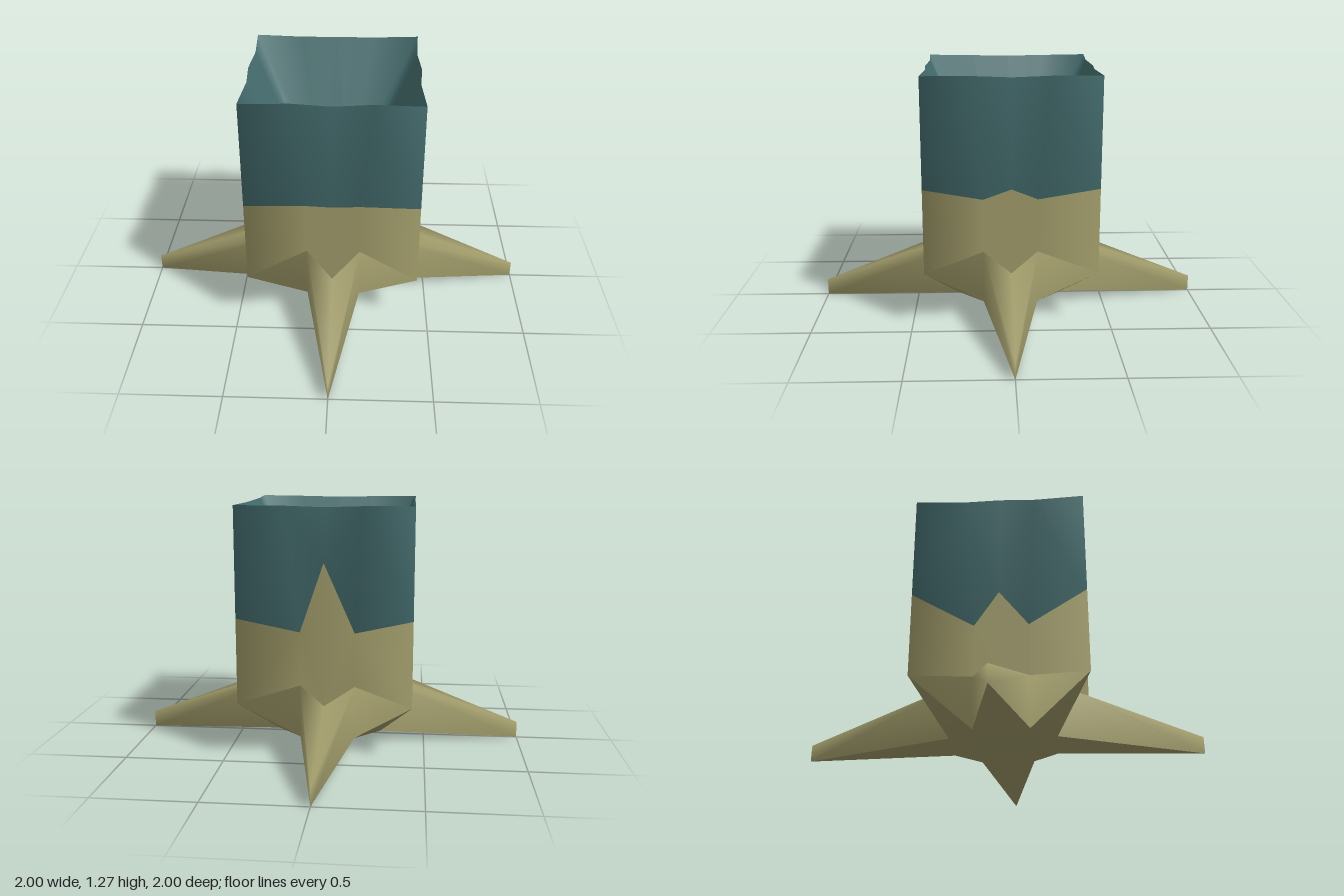
import * as THREE from 'three';
import { mergeVertices } from 'three/addons/utils/BufferGeometryUtils.js';

const OLIVE = 0x9f9a69;
const TEAL = 0x456d6e;

// Repeats points of one quadrant four times around the y axis.
function around(points) {
  const out = [];
  for (let q = 0; q < 4; q++) {
    for (const [px, y, pz] of points) {
      let x = px, z = pz;
      for (let k = 0; k < q; k++) [x, z] = [z, -x];
      out.push([x, y, z]);
    }
  }
  return out;
}

// Ring of 16 points: face ridge, dent, corner, dent, in each quadrant.
function ring(ridge, ridgeY, dentX, dentZ, dentY, corner, cornerY) {
  return around([
    [0, ridgeY, ridge], [dentX, dentY, dentZ],
    [corner, cornerY, corner], [dentZ, dentY, dentX],
  ]);
}

// Triangles between two rings, with diagonals running from ridge to dent.
function bridge(a, b) {
  const tris = [];
  for (let i = 0; i < a.length; i++) {
    const j = (i + 1) % a.length;
    if (i % 2 === 0) tris.push([a[i], a[j], b[j]], [a[i], b[j], b[i]]);
    else tris.push([a[i], a[j], b[i]], [a[j], b[j], b[i]]);
  }
  return tris;
}

function smoothMesh(name, tris, color) {
  let geo = new THREE.BufferGeometry();
  geo.setAttribute('position', new THREE.Float32BufferAttribute(tris.flat(2), 3));
  geo = mergeVertices(geo, 1e-4);
  geo.computeVertexNormals();
  const mesh = new THREE.Mesh(geo, new THREE.MeshStandardMaterial({ color, side: THREE.DoubleSide }));
  mesh.name = name;
  return mesh;
}

export function createModel() {
  const group = new THREE.Group();
  group.name = 'fourFootedPot';

  const rim = ring(0.435, 1.265, 0.19, 0.42, 1.27, 0.435, 1.272);
  const mid = ring(0.435, 0.72, 0.14, 0.27, 0.62, 0.435, 0.72);
  const low = ring(0.435, 0.285, 0.14, 0.27, 0.34, 0.435, 0.285);
  const base = ring(0.27, 0.065, 0.14, 0.27, 0.065, 0.27, 0.065);
  const floor = ring(0.14, 0.62, 0.07, 0.14, 0.62, 0.14, 0.62);
  mid[8][1] = 1.0; // the lower colour climbs higher on the back ridge

  // Outer wall, upper and lower bands
  group.add(smoothMesh('upperWall', bridge(mid, rim), TEAL));
  group.add(smoothMesh('lowerWall', bridge(low, mid), OLIVE));

  // Inner funnel and its floor
  group.add(smoothMesh('innerFunnel', bridge(rim, floor), TEAL));
  const floorTris = floor.map((p, i) => [[0, 0.62, 0], p, floor[(i + 1) % 16]]);
  group.add(smoothMesh('innerFloor', floorTris, OLIVE));

  // Four pointed feet with wedge-shaped corners between them
  const tipTop = around([[0, 0.09, 1]]);
  const tipBottom = around([[0, 0.005, 1]]);
  const feet = [];
  const under = [];
  for (let q = 0; q < 4; q++) {
    const i = q * 4, r = i + 1, l = (i + 15) % 16, c = i + 2, s = i + 3;
    const t = tipTop[q], b = tipBottom[q];
    feet.push(
      [low[i], t, low[r]], [low[i], low[l], t],
      [low[r], t, b], [low[r], b, base[r]],
      [low[l], b, t], [low[l], base[l], b],
      [base[r], low[c], low[r]], [base[s], low[s], low[c]],
    );
    under.push(
      [b, base[l], base[r]],
      [base[r], base[s], low[c]],
      [[0, 0.065, 0], base[r], base[l]],
      [[0, 0.065, 0], base[s], base[r]],
    );
  }
  group.add(smoothMesh('feet', feet, OLIVE));
  group.add(smoothMesh('underside', under, OLIVE));
  return group;
}
